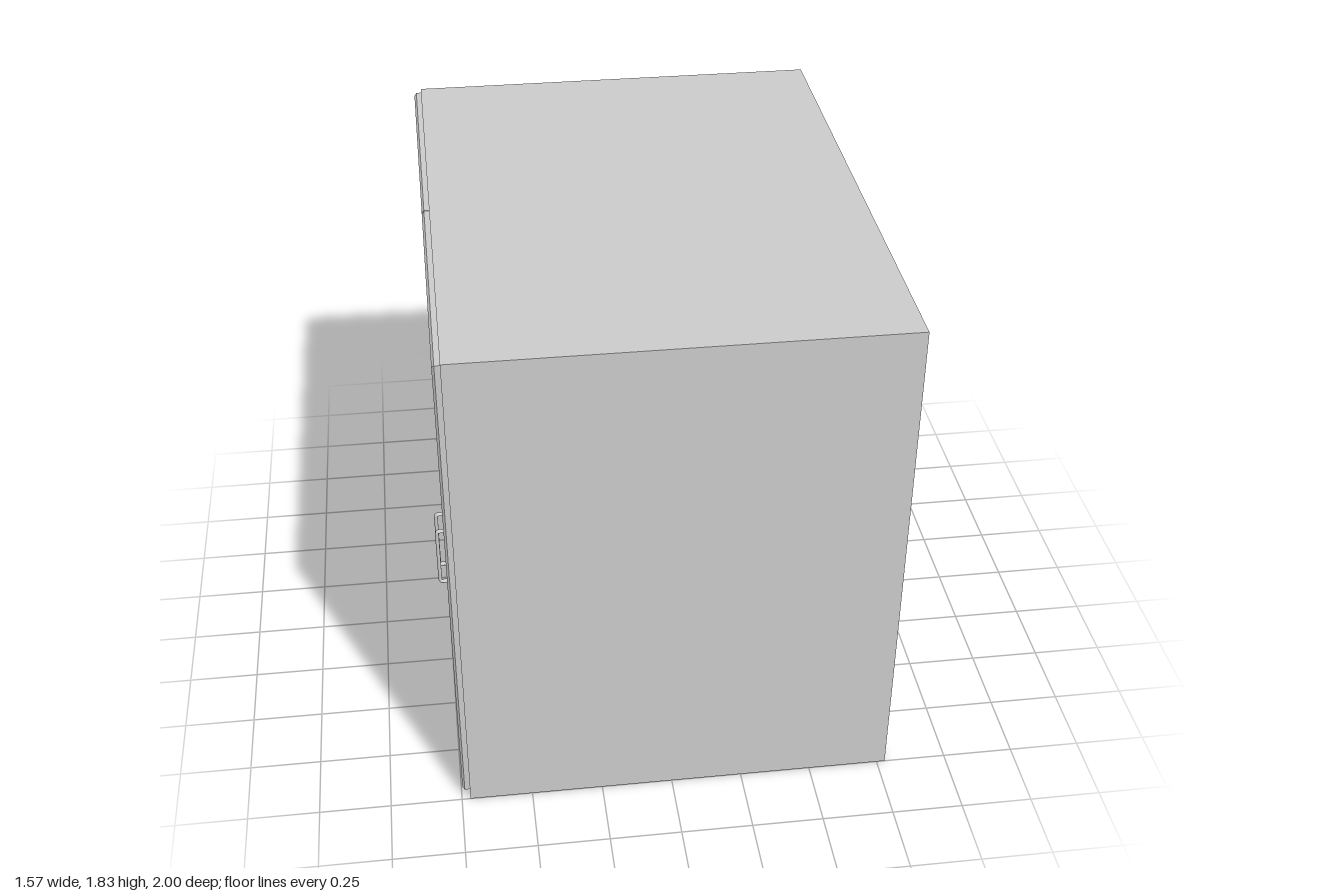
import * as THREE from 'three';

const material = new THREE.MeshStandardMaterial({ color: 0xcccccc });
const FACE = 0.72; // distance from the centre to the front of the carcass
const THICK = 0.026; // door thickness
const BEVEL = 0.008;

function addMesh(parent, name, geometry, x = 0, y = 0, z = 0) {
  const mesh = new THREE.Mesh(geometry, material);
  mesh.name = name;
  mesh.position.set(x, y, z);
  parent.add(mesh);
  return mesh;
}

// Rectangle outline, drawn into a Shape or Path
function rectangle(path, x0, y0, x1, y1) {
  path.moveTo(x0, y0).lineTo(x1, y0).lineTo(x1, y1).lineTo(x0, y1).closePath();
  return path;
}

// Framed door with a recessed panel, facing local +z
function createDoor(x0, x1) {
  const door = new THREE.Group();
  const [y0, y1, rail] = [0.035, 1.815, 0.098];
  const b = BEVEL;
  const frame = rectangle(new THREE.Shape(), x0 + b, y0 + b, x1 - b, y1 - b);
  frame.holes.push(rectangle(new THREE.Path(), x0 + rail, y0 + rail, x1 - rail, y1 - rail));
  // The rear bevel sits inside the carcass
  addMesh(door, 'doorFrame', new THREE.ExtrudeGeometry(frame, {
    depth: THICK - b, bevelSize: b, bevelThickness: b, bevelSegments: 1,
  }), 0, 0, FACE);
  addMesh(door, 'doorPanel',
    new THREE.BoxGeometry(x1 - x0 - 2 * rail + 0.02, y1 - y0 - 2 * rail + 0.02, 0.01),
    (x0 + x1) / 2, (y0 + y1) / 2, FACE + 0.005);
  return door;
}

// Bow handle with rounded corners and flared feet
function createHandle() {
  const handle = new THREE.Group();
  const [half, reach, r] = [0.122, 0.032, 0.012];
  const v = (y, z) => new THREE.Vector3(0, y, z);
  const path = new THREE.CurvePath();
  path.add(new THREE.LineCurve3(v(-half, 0), v(-half, reach - r)));
  path.add(new THREE.QuadraticBezierCurve3(v(-half, reach - r), v(-half, reach), v(-half + r, reach)));
  path.add(new THREE.LineCurve3(v(-half + r, reach), v(half - r, reach)));
  path.add(new THREE.QuadraticBezierCurve3(v(half - r, reach), v(half, reach), v(half, reach - r)));
  path.add(new THREE.LineCurve3(v(half, reach - r), v(half, 0)));
  addMesh(handle, 'handleBar', new THREE.TubeGeometry(path, 120, 0.007, 12)).scale.x = 1.3;
  for (const side of [-1, 1]) {
    const foot = new THREE.CylinderGeometry(0.007, 0.012, 0.012, 16).rotateX(Math.PI / 2);
    addMesh(handle, 'handleFoot', foot, 0, side * half, 0.006);
  }
  return handle;
}

export function createModel() {
  const model = new THREE.Group();
  model.name = 'cabinet';

  // Carcass
  addMesh(model, 'carcass', new THREE.BoxGeometry(1.5, 1.825, 2), 0.03, 0.9125, 0);

  // Doors and handles, turned to face -x
  const front = new THREE.Group();
  front.name = 'doors';
  front.rotation.y = -Math.PI / 2;
  const seam = -0.008;
  for (const side of [-1, 1]) {
    const edges = [seam + side * 0.002, side * 0.988].sort((a, b) => a - b);
    const door = createDoor(...edges);
    door.name = side < 0 ? 'backDoor' : 'frontDoor';
    const handle = createHandle();
    handle.name = 'handle';
    handle.position.set(seam + side * 0.054, 0.345, FACE + THICK);
    door.add(handle);
    front.add(door);
  }
  model.add(front);
  return model;
}
